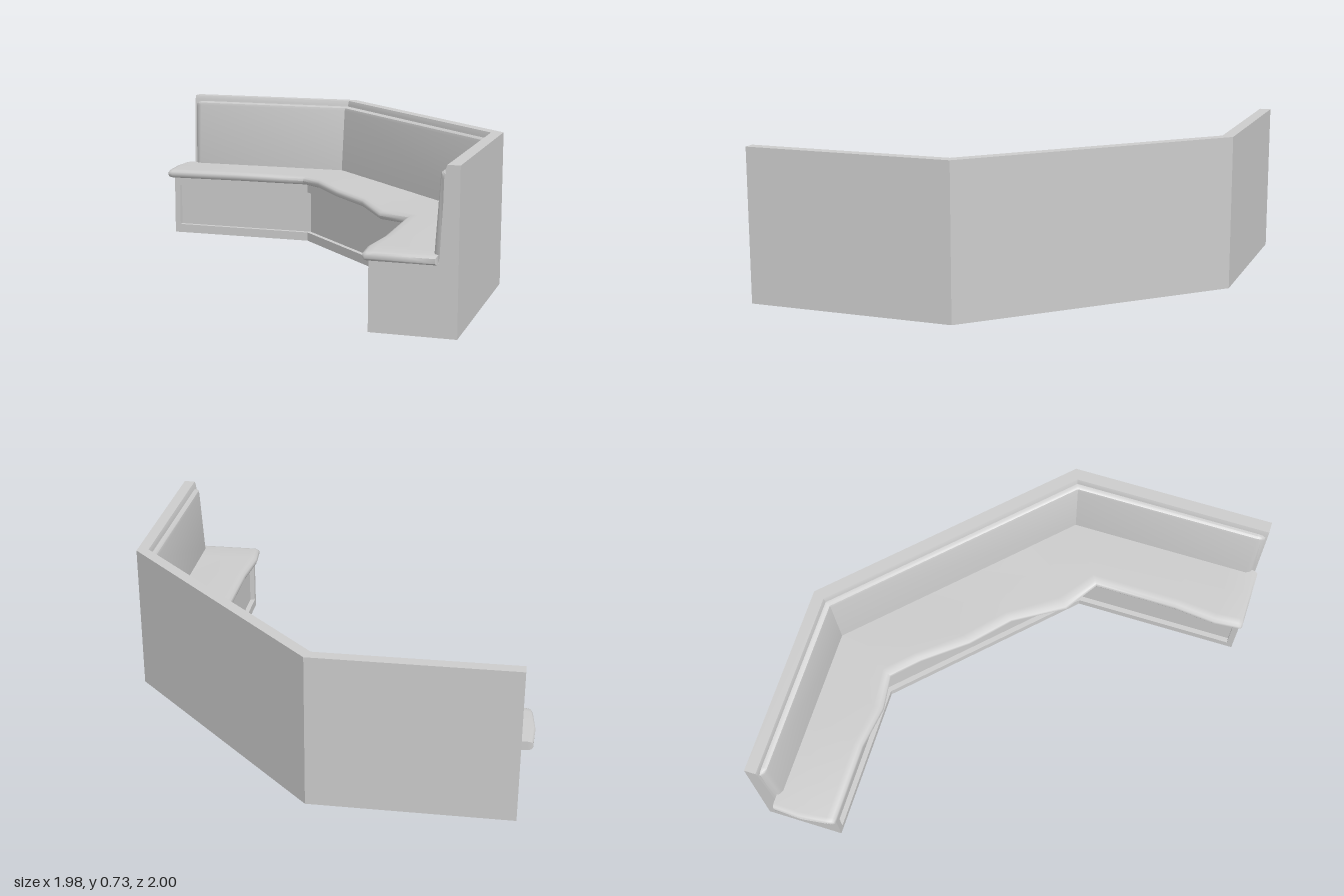
import * as THREE from 'three';
import { toCreasedNormals } from 'three/addons/utils/BufferGeometryUtils.js';

const material = new THREE.MeshStandardMaterial({ color: 0xcccccc });
const MITRE = Math.tan(Math.PI / 8);

// Point on the three-sided plan: station 0..3, d = distance in from the back wall
function planPoint(station, d, inset = 0) {
  return [
    [-0.93 + inset, -1 + d],
    [-0.005 - MITRE * d, -1 + d],
    [0.99 - d, MITRE * d],
    [0.99 - d, 0.985 - inset],
  ][station];
}

// Skin a row of closed rings and cap both ends; profile is the 2D ring, counter-clockwise
function loft(name, profile, rings, crease = 0.6) {
  const n = profile.length;
  const index = [];
  for (let i = 0; i < rings.length - 1; i++) {
    for (let j = 0; j < n; j++) {
      const a = i * n + j, b = i * n + (j + 1) % n, c = a + n, d = b + n;
      index.push(a, c, b, b, c, d);
    }
  }
  const outline = profile.map(([x, y]) => new THREE.Vector2(x, y));
  const last = (rings.length - 1) * n;
  for (const [a, b, c] of THREE.ShapeUtils.triangulateShape(outline, [])) {
    index.push(a, b, c, last + a, last + c, last + b);
  }
  const geometry = new THREE.BufferGeometry();
  geometry.setAttribute('position', new THREE.Float32BufferAttribute(rings.flat(2), 3));
  geometry.setIndex(index);
  const mesh = new THREE.Mesh(toCreasedNormals(geometry, crease), material);
  mesh.name = name;
  return mesh;
}

// Sweep a (d, y) profile along the plan, stopping short of the ends by inset
function sweep(name, profile, inset = 0) {
  const rings = [0, 1, 2, 3].map((s) => profile.map(([d, y]) => {
    const [x, z] = planPoint(s, d, inset);
    return [x, y, z];
  }));
  return loft(name, profile, rings);
}

const rect = (d0, d1, y0, y1) => [[d0, y0], [d1, y0], [d1, y1], [d0, y1]];

function backCushion() {
  const profile = [
    [0.05, 0.32], [0.112, 0.32], [0.11, 0.36], [0.09, 0.675],
    [0.086, 0.688], [0.075, 0.695], [0.05, 0.695],
  ];
  // Ends step in and thicken to a soft bevel
  const ring = (s, inset, thin) => profile.map(([d, y]) => {
    const depth = d - thin * Math.max(0, d - 0.06);
    const [x, z] = planPoint(s, depth, inset);
    return [x, y - thin * 0.02 * (y > 0.6 ? 1 : 0), z];
  });
  return loft('backCushion', profile, [
    ring(0, 0.01, 0.7), ring(0, 0.025, 0.2), ring(0, 0.045, 0),
    ring(1, 0, 0), ring(2, 0, 0),
    ring(3, 0.045, 0), ring(3, 0.025, 0.2), ring(3, 0.01, 0.7),
  ]);
}

function seat() {
  // Profile: t from back to front, h from -1 (underside) to 1 (top)
  const profile = [
    [0, -1], [0.94, -1], [0.98, -0.75], [1, 0], [0.985, 0.6], [0.94, 0.95], [0.85, 1], [0, 1],
  ];
  // Back x, z, front x, z, front-edge rise, thickness scale, end bulge
  const stations = [
    [-0.98, -0.905, -0.965, -0.61, 0, 0.45, -0.012],
    [-0.972, -0.91, -0.957, -0.602, 0, 0.85, -0.012],
    [-0.955, -0.912, -0.94, -0.6, 0, 1, -0.008],
    [-0.56, -0.912, -0.56, -0.6, 0.003, 1, 0],
    [-0.35, -0.912, -0.35, -0.567, 0.009, 1, 0],
    [-0.042, -0.912, -0.18, -0.59, 0.005, 1, 0],
    [0.10, -0.77, -0.06, -0.47, 0.014, 1, 0],
    [0.28, -0.59, 0.10, -0.27, 0.010, 1, 0],
    [0.48, -0.39, 0.28, -0.11, 0, 1, 0],
    [0.70, -0.17, 0.43, 0.13, -0.006, 1, 0],
    [0.902, 0.036, 0.59, 0.24, 0.005, 1, 0],
    [0.902, 0.65, 0.59, 0.65, 0, 1, 0],
    [0.902, 0.86, 0.57, 0.86, 0, 1, 0],
    [0.902, 0.975, 0.58, 0.975, 0, 1, 0],
    [0.9, 0.99, 0.583, 0.99, 0, 0.85, 0],
    [0.895, 1, 0.592, 0.997, 0, 0.5, 0],
  ];
  const rings = stations.map(([bx, bz, fx, fz, rise, thick, bulge]) => profile.map(([t, h]) => [
    bx + (fx - bx) * t + bulge * Math.sin(Math.PI * t),
    0.326 + 0.021 * h * thick + rise * t,
    bz + (fz - bz) * t,
  ]));
  // Mid-span points keep the outer ends rounded in plan
  for (const ring of [rings[0], rings[1], rings[2]]) {
    ring.splice(1, 0, ring[0].map((v, k) => (v + ring[1][k]) / 2 - (k === 0 ? 0.01 : 0)));
    const top = ring.length - 1;
    ring.splice(top, 0, ring[top].map((v, k) => (v + ring[top - 1][k]) / 2 - (k === 0 ? 0.01 : 0)));
  }
  for (const ring of rings.slice(3)) {
    ring.splice(1, 0, ring[0].map((v, k) => (v + ring[1][k]) / 2));
    const top = ring.length - 1;
    ring.splice(top, 0, ring[top].map((v, k) => (v + ring[top - 1][k]) / 2));
  }
  profile.splice(1, 0, [0.47, -1]);
  profile.splice(profile.length - 1, 0, [0.425, 1]);
  return loft('seat', profile, rings, 0.9);
}

// Upright strip closing one end of the recessed base panel
function stile(station) {
  const box = new THREE.Mesh(new THREE.BoxGeometry(0.03, 0.22, 0.025), material);
  const [x, z] = planPoint(station, 0.3675, 0.015);
  box.position.set(x, 0.155, z);
  if (station === 3) box.rotation.y = -Math.PI / 2;
  box.name = 'baseStile';
  return box;
}

export function createModel() {
  const group = new THREE.Group();
  group.name = 'cornerBench';

  // Base and back wall in one L-shaped section
  group.add(sweep('benchBody', [
    [0, 0], [0.355, 0], [0.355, 0.315], [0.085, 0.315],
    [0.08, 0.34], [0.062, 0.705], [0.055, 0.725], [0, 0.725],
  ]));

  // Frame around the recessed base panel
  group.add(sweep('baseBottomRail', rect(0.355, 0.38, 0, 0.045)));
  group.add(sweep('baseTopRail', rect(0.355, 0.38, 0.265, 0.315)));
  group.add(stile(0), stile(3));

  group.add(backCushion(), seat());
  return group;
}
